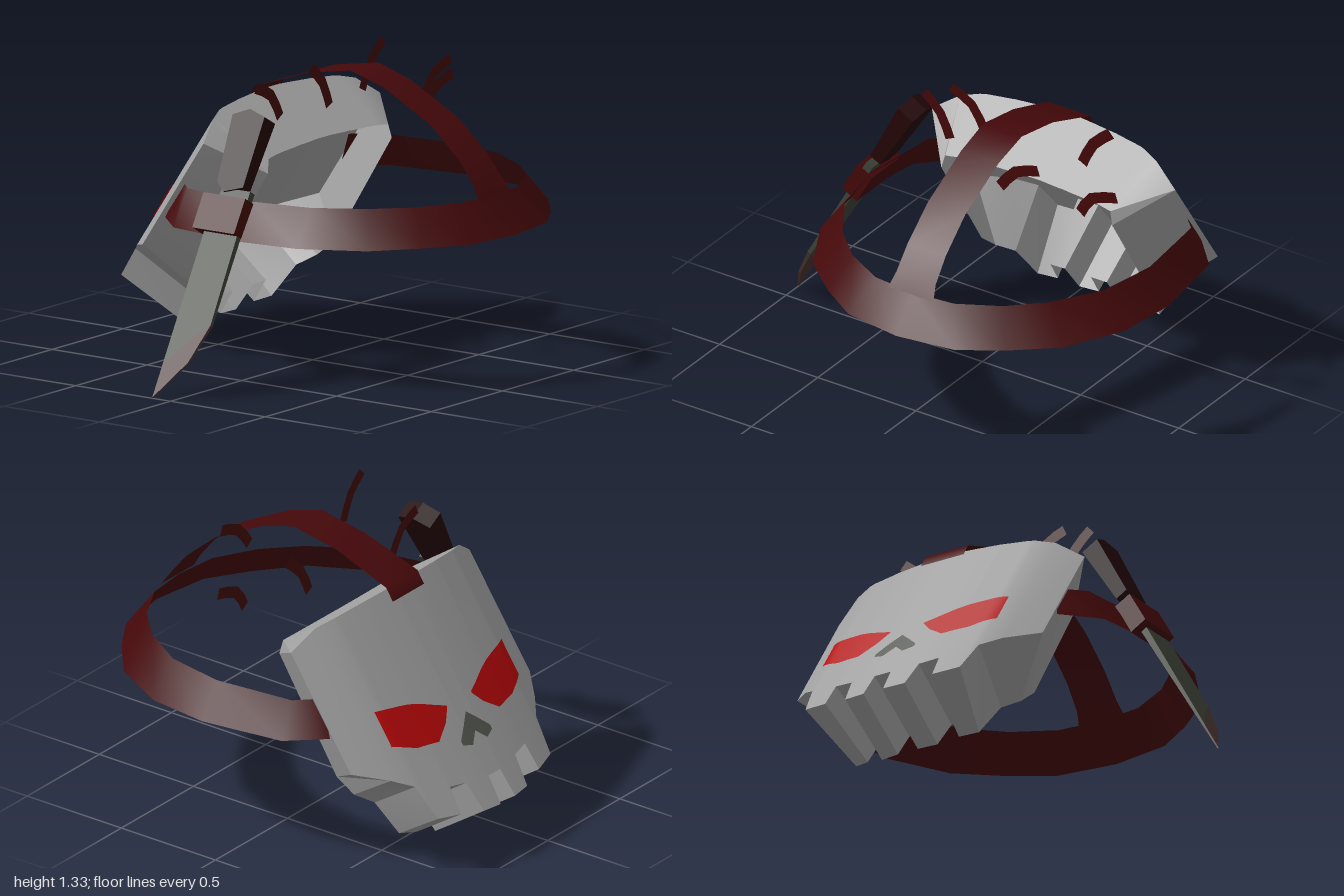
import * as THREE from 'three';
import { toCreasedNormals } from 'three/addons/utils/BufferGeometryUtils.js';

const mat = (name, color, side = THREE.FrontSide) => {
  const m = new THREE.MeshStandardMaterial({ color, side });
  m.name = name;
  return m;
};

// Half of the mask from the middle outwards:
// front x, top, bottom, front depth, rim x, rim depth at top, rim depth at bottom
const HALF = [
  [0.04, 0, -0.9, 0, 0.04, 0.33, 0.32],
  [0.05, 0, -1.03, 0, 0.05, 0.33, 0.32],
  [0.15, 0, -1.02, 0.008, 0.14, 0.335, 0.33],
  [0.17, 0, -0.88, 0.01, 0.16, 0.335, 0.33],
  [0.26, 0, -0.86, 0.018, 0.22, 0.34, 0.34],
  [0.27, 0, -0.985, 0.02, 0.23, 0.34, 0.34],
  [0.39, 0, -0.955, 0.037, 0.31, 0.345, 0.36],
  [0.42, 0, -0.79, 0.045, 0.36, 0.35, 0.36],
  [0.5, 0, -0.72, 0.08, 0.42, 0.36, 0.39],
  [0.62, -0.045, -0.62, 0.157, 0.435, 0.4, 0.42],
];

// Interpolated depth of the curved face at x
function faceDepth(x) {
  const u = Math.abs(x);
  for (let i = 1; i < HALF.length; i++) {
    const a = HALF[i - 1], b = HALF[i];
    if (u <= b[0]) return a[3] + (b[3] - a[3]) * Math.max(0, (u - a[0]) / (b[0] - a[0]));
  }
  return 0.157;
}

// Hollow shell, open at the rear: face, underside, top and slanted side walls
function maskGeometry() {
  const sections = [
    ...HALF.slice().reverse().map(([u, t, b, f, ub, bt, bb]) => [-u, t, b, f, -ub, bt, bb]),
    ...HALF,
  ];
  const pos = [], idx = [];
  for (const [u, t, b, f, ub, bt, bb] of sections) {
    pos.push(u, t, f, u, b, f, ub, b, bb, ub, t, bt);
  }
  const n = sections.length;
  for (let i = 0; i < n - 1; i++) {
    for (const [k, next] of [[0, 1], [1, 2], [3, 0]]) {
      const a = i * 4 + k, b = i * 4 + next;
      idx.push(a, a + 4, b + 4, a, b + 4, b);
    }
  }
  const e = (n - 1) * 4;
  idx.push(0, 1, 2, 0, 2, 3, e, e + 2, e + 1, e, e + 3, e + 2);
  const g = new THREE.BufferGeometry();
  g.setAttribute('position', new THREE.Float32BufferAttribute(pos, 3));
  g.setIndex(idx);
  return toCreasedNormals(g, 0.4);
}

// Thin sheet between two edges with equal point counts
function ribbon(edgeA, edgeB) {
  const pos = [], idx = [];
  edgeA.forEach((p, i) => {
    pos.push(...p, ...edgeB[i]);
    if (i) idx.push(2 * i - 2, 2 * i - 1, 2 * i + 1, 2 * i - 2, 2 * i + 1, 2 * i);
  });
  const g = new THREE.BufferGeometry();
  g.setAttribute('position', new THREE.Float32BufferAttribute(pos, 3));
  g.setIndex(idx);
  g.computeVertexNormals();
  return g;
}

// Painted patch following the mask face, from columns of x, top, bottom
function facePatch(cols) {
  const at = (x, y) => [x, y, faceDepth(x) - 0.008];
  return ribbon(cols.map(c => at(c[0], c[1])), cols.map(c => at(c[0], c[2])));
}

// Slab from a z/y outline whose thickness varies with height
function slab(outline, thickness) {
  const shape = new THREE.Shape(outline.map(p => new THREE.Vector2(...p)));
  const g = new THREE.ExtrudeGeometry(shape, { depth: 1, bevelEnabled: false });
  g.translate(0, 0, -0.5).rotateY(-Math.PI / 2);
  const p = g.attributes.position;
  for (let i = 0; i < p.count; i++) p.setX(i, p.getX(i) * thickness(p.getY(i)));
  g.computeVertexNormals();
  return g;
}

export function createModel() {
  const model = new THREE.Group();
  model.name = 'skullMaskHeadgear';
  const bone = mat('bone grey', 0xa1a1a1, THREE.DoubleSide);
  const leather = mat('dark red leather', 0x44080a, THREE.DoubleSide);
  const red = mat('eye red', 0xb80708, THREE.DoubleSide);
  const nasal = mat('nose grey', 0x555950, THREE.DoubleSide);
  const steel = mat('blade steel', 0x3e4238);
  const rust = mat('rust brown', 0x4a3430);
  const grip = mat('grip maroon', 0x240506);

  const add = (parent, name, geometry, material) => {
    const m = new THREE.Mesh(geometry, material);
    m.name = name;
    parent.add(m);
    return m;
  };

  // Mask, leaning back
  const mask = new THREE.Group();
  mask.name = 'mask';
  mask.position.set(0.19, 1.1, -0.36);
  mask.rotation.x = 0.591;
  model.add(mask);
  add(mask, 'skullShell', maskGeometry(), bone);
  const eye = [
    [0.44, -0.43, -0.595], [0.42, -0.435, -0.605], [0.39, -0.442, -0.62], [0.33, -0.455, -0.65],
    [0.27, -0.47, -0.66], [0.21, -0.493, -0.672], [0.13, -0.533, -0.615], [0.085, -0.553, -0.56],
  ];
  for (const s of [-1, 1]) {
    add(mask, s > 0 ? 'leftEye' : 'rightEye', facePatch(eye.map(([x, t, b]) => [s * x, t, b])), red);
  }
  add(mask, 'nose', facePatch([
    [-0.1, -0.715, -0.735], [-0.05, -0.665, -0.755], [0, -0.615, -0.705],
    [0.05, -0.665, -0.755], [0.1, -0.715, -0.735],
  ]), nasal);

  // Head band, flaring towards its lower edge
  const lower = [[0, 0.93], [0.27, 0.89], [0.45, 0.775], [0.635, 0.62], [0.775, 0.355], [0.81, 0.07], [0.755, -0.31], [0.615, -0.46]];
  const upper = [[0, 0.81], [0.2, 0.79], [0.385, 0.69], [0.53, 0.55], [0.66, 0.34], [0.71, 0.07], [0.67, -0.3], [0.58, -0.39]];
  const edge = (half, y) => [
    ...half.slice(1).reverse().map(([x, z]) => [0.19 - x, y, z]),
    ...half.map(([x, z]) => [0.19 + x, y, z]),
  ];
  add(model, 'headBand', ribbon(edge(upper, 0.785), edge(lower, 0.63)), leather);

  // Strap over the crown: z, y, half width
  const path = [
    [0.82, 0.78, 0.115], [0.78, 0.84, 0.1], [0.7, 0.94, 0.097], [0.55, 1.07, 0.095], [0.3, 1.2, 0.095],
    [0.13, 1.25, 0.098], [-0.1, 1.21, 0.1], [-0.37, 1.115, 0.108], [-0.405, 1.06, 0.108],
  ];
  const strapEdge = s => path.map(([z, y, w]) => [0.19 + s * w, y, z]);
  add(model, 'crownStrap', ribbon(strapEdge(-1), strapEdge(1)), leather);

  // Loose curved tufts: z, then base, middle and tip as x, y
  const tufts = [
    [0.14, [-0.07, 1.13], [-0.12, 1.24], [-0.2, 1.315]],
    [-0.12, [-0.07, 1.045], [-0.135, 1.15], [-0.24, 1.2]],
    [0.34, [0.32, 1.12], [0.4, 1.215], [0.515, 1.255]],
    [-0.08, [0.455, 1.075], [0.51, 1.185], [0.6, 1.265]],
    [0.15, [0.6, 0.99], [0.66, 1.08], [0.785, 1.12]],
  ];
  for (const [z, ...pts] of tufts) {
    const curve = new THREE.SplineCurve(pts.map(p => new THREE.Vector2(...p)));
    const side = s => [0, 0.25, 0.5, 0.75, 1].map(t => {
      const p = curve.getPoint(t), d = curve.getTangent(t);
      return [p.x - d.y * s, p.y + d.x * s, z];
    });
    add(model, 'tuft', ribbon(side(0.025), side(-0.025)), leather);
  }

  // Knife tucked into the band
  const knife = new THREE.Group();
  knife.name = 'knife';
  knife.position.set(-1, 0, 0);
  knife.rotation.z = -0.524;
  model.add(knife);
  const bladeThickness = y => 0.006 + 0.032 * y;
  add(knife, 'blade', slab([
    [-0.095, 0.14], [-0.03, 0.23], [0.03, 0.3], [0.085, 0.35], [0.075, 0.95], [-0.07, 0.95], [-0.095, 0.79],
  ], bladeThickness), steel);
  add(knife, 'rustyEdge', slab([
    [-0.095, 0], [0.03, 0.175], [0.085, 0.35], [0.03, 0.3], [-0.03, 0.23], [-0.095, 0.14],
  ], bladeThickness), rust);
  add(knife, 'handle', slab([
    [-0.055, 0.93], [0.04, 0.96], [0.045, 1.275], [-0.04, 1.3], [-0.12, 1.265], [-0.1, 0.97],
  ], y => 0.055 + 0.09 * (y - 0.93)), grip);
  add(knife, 'sheathLoop', new THREE.BoxGeometry(0.085, 0.16, 0.22), leather).position.set(0, 0.83, -0.03);

  return model;
}
